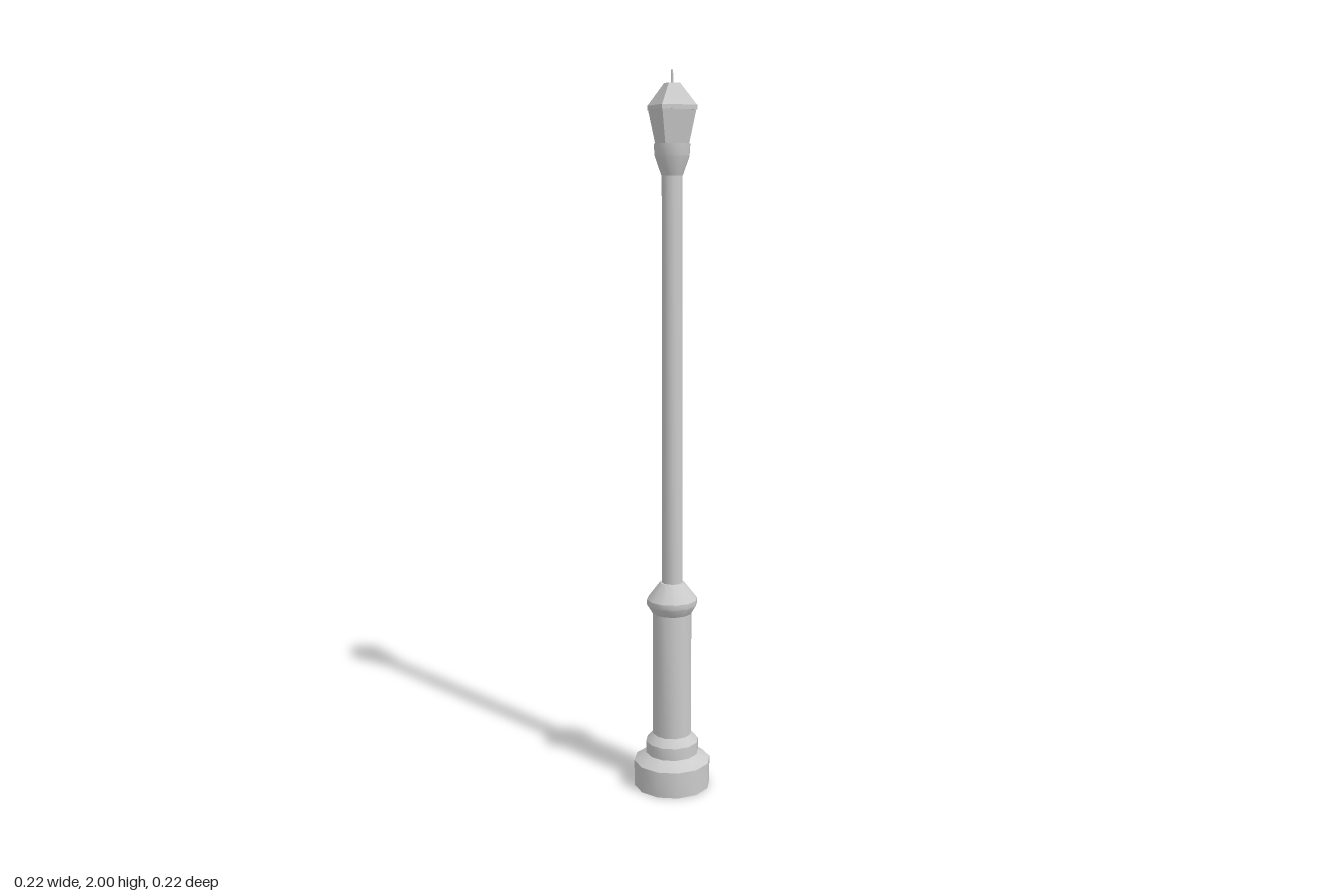
import * as THREE from 'three';
import { toCreasedNormals } from 'three/addons/utils/BufferGeometryUtils.js';

const material = new THREE.MeshStandardMaterial({ color: 0xcccccc });

// Turned part: profile of [radius, height] pairs, bottom to top
function turned(name, profile, sides, start = 0, crease = 0.6) {
  const points = profile.map(([r, y]) => new THREE.Vector2(r, y));
  const geometry = new THREE.LatheGeometry(points, sides, start);
  const mesh = new THREE.Mesh(toCreasedNormals(geometry, crease), material);
  mesh.name = name;
  return mesh;
}

export function createModel() {
  const group = new THREE.Group();
  group.name = 'streetLamp';
  const sides = 12;
  const lampTurn = Math.PI / 6; // the square lantern is turned by 30 degrees

  group.add(
    // Stepped foot
    turned('foot', [
      [0, 0], [0.109, 0], [0.109, 0.075], [0.075, 0.098],
      [0.075, 0.133], [0.056, 0.155], [0, 0.155],
    ], sides),
    // Thick lower column
    turned('lowerColumn', [[0.055, 0.15], [0.055, 0.52]], sides),
    // Moulding between column and pole
    turned('columnCap', [
      [0, 0.515], [0.056, 0.515], [0.071, 0.54], [0.071, 0.555], [0.034, 0.603], [0, 0.603],
    ], sides),
    // Slender pole
    turned('pole', [[0.029, 0.595], [0.028, 1.74]], sides),
    // Flared collar under the lantern
    turned('collar', [
      [0, 1.727], [0.029, 1.727], [0.047, 1.778], [0.049, 1.81], [0, 1.81],
    ], sides, 0, 0.55),
    // Four-sided glass body, widening upward
    turned('lantern', [[0.048, 1.808], [0.069, 1.9]], 4, lampTurn, 0.1),
    // Four-sided roof with a thin rim and flat top
    turned('roof', [
      [0, 1.897], [0.071, 1.897], [0.071, 1.909], [0.066, 1.914], [0.023, 1.966], [0, 1.966],
    ], 4, lampTurn, 0.1),
    // Finial spike
    turned('finial', [[0.0035, 1.96], [0.003, 2], [0, 2]], 6),
  );
  return group;
}
